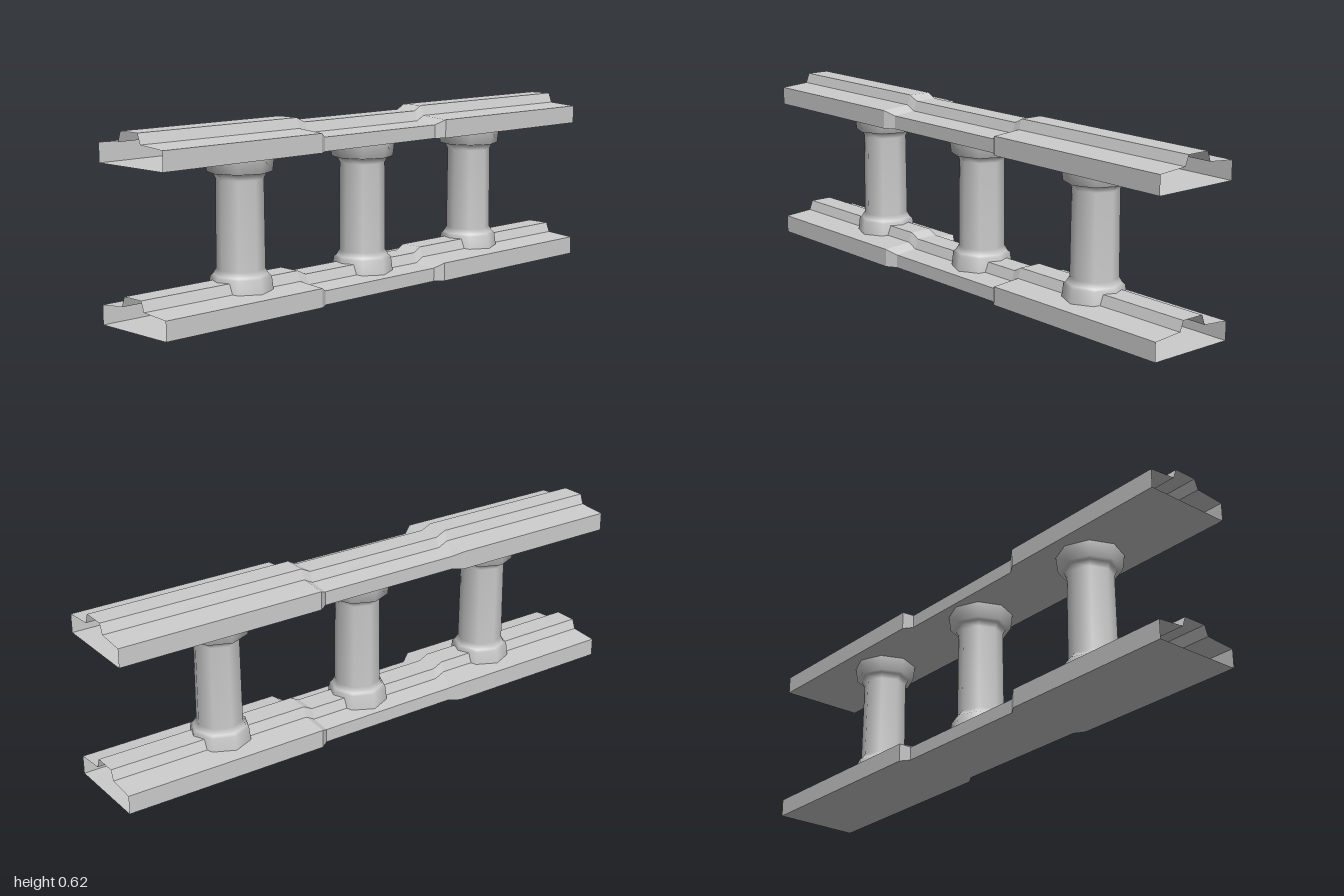
import * as THREE from 'three';

const material = new THREE.MeshStandardMaterial({ color: 0xcccccc, side: THREE.DoubleSide });
const flatMaterial = new THREE.MeshStandardMaterial({ color: 0xcccccc, side: THREE.DoubleSide, flatShading: true });

// Moulded cross-section as [z, y]; the waist is narrower and its top sits lower
const section = (front, back, drop) => [
  [front, 0], [front, 0.065 - drop], [0.052, 0.073 - drop], [0.039, 0.108 - drop],
  [-0.045, 0.108 - drop], [-0.058, 0.073 - drop], [back, 0.065 - drop], [back, 0],
];
const wide = section(0.159, -0.158, 0);
const waist = section(0.136, -0.134, 0.017);

// Open-ended rail skinned through sections along x
function railGeometry() {
  const stations = [[-1, wide], [-0.348, wide], [-0.312, waist], [0.225, waist], [0.257, wide], [1, wide]];
  const positions = [];
  for (let i = 0; i < stations.length - 1; i++) {
    const n = wide.length;
    for (let j = 0; j < n; j++) {
      const corner = (s, k) => {
        const [x, ring] = stations[s];
        const [z, y] = ring[k % n];
        return [x, y, z];
      };
      const a = corner(i, j), b = corner(i + 1, j), c = corner(i + 1, j + 1), d = corner(i, j + 1);
      positions.push(...a, ...b, ...c, ...a, ...c, ...d);
    }
  }
  const geometry = new THREE.BufferGeometry();
  geometry.setAttribute('position', new THREE.Float32BufferAttribute(positions, 3));
  geometry.computeVertexNormals();
  return geometry;
}

// Eight-sided turned column with flared base and capital
function columnGeometry(drop) {
  const profile = [
    [0.108, 0.059 - drop], [0.101, 0.117 - drop], [0.092, 0.124 - drop], [0.081, 0.142 - drop],
    [0.0785, 0.438], [0.089, 0.458], [0.107, 0.461], [0.1135, 0.515],
  ];
  return new THREE.LatheGeometry(profile.map(([r, y]) => new THREE.Vector2(r, y)), 8);
}

export function createModel() {
  const model = new THREE.Group();
  model.name = 'balustrade';

  // Base and top rails share one shape
  const rail = railGeometry();
  for (const [name, y] of [['baseRail', 0], ['topRail', 0.514]]) {
    const mesh = new THREE.Mesh(rail, flatMaterial);
    mesh.name = name;
    mesh.position.y = y;
    model.add(mesh);
  }

  // Columns; the middle one reaches down into the lower waist
  for (const [name, x, drop] of [['rightColumn', -0.562, 0], ['middleColumn', 0.002, 0.013], ['leftColumn', 0.57, 0]]) {
    const mesh = new THREE.Mesh(columnGeometry(drop), material);
    mesh.name = name;
    mesh.position.set(x, 0, -0.003);
    model.add(mesh);
  }
  return model;
}
